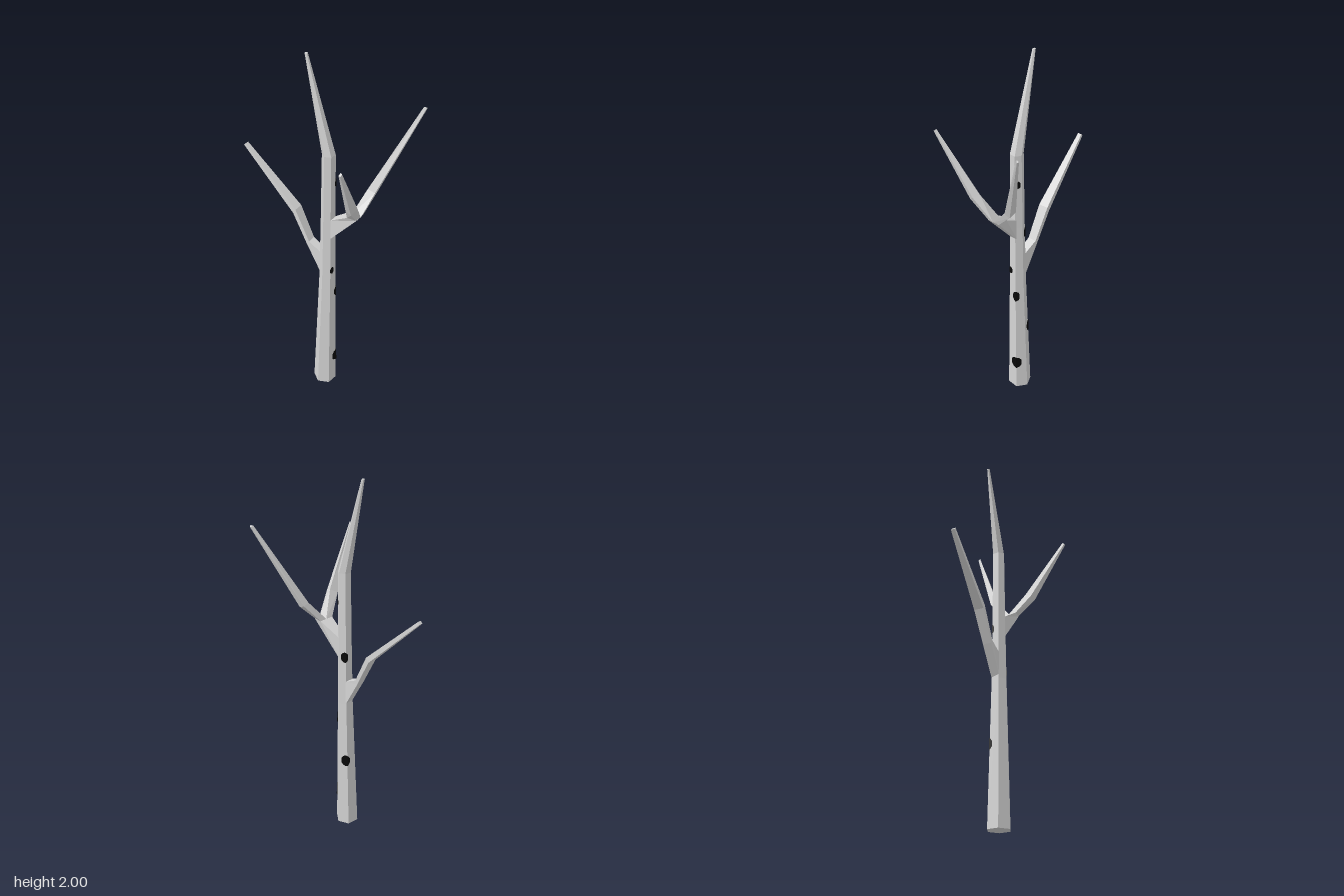
import * as THREE from 'three';

const RAD = Math.PI / 180;
const SIDES = 6;
const TURN = -7; // angle of the first trunk corner, measured from +z toward +x

// trunk sections: height, centre x, radius
const TRUNK = [
  [0, 0.068, 0.063], [0.77, 0.077, 0.043], [1.1, 0.077, 0.038],
  [1.51, 0.077, 0.034], [2, -0.05, 0.008],
];

function sectionAt(y) {
  let i = 0;
  while (i < TRUNK.length - 2 && y > TRUNK[i + 1][0]) i++;
  const a = TRUNK[i], b = TRUNK[i + 1], t = (y - a[0]) / (b[0] - a[0]);
  return [a[1] + (b[1] - a[1]) * t, a[2] + (b[2] - a[2]) * t];
}

// point on the six-sided trunk, lifted slightly off the bark if asked
function trunkPoint(angle, y, lift = 0) {
  const [cx, r] = sectionAt(y);
  const step = 360 / SIDES;
  const local = ((((angle - TURN) % step) + step) % step) - step / 2;
  const d = (r * Math.cos(step / 2 * RAD) + lift) / Math.cos(local * RAD);
  return [cx + d * Math.sin(angle * RAD), y, d * Math.cos(angle * RAD)];
}

function meshFrom(name, points, material) {
  const g = new THREE.BufferGeometry();
  g.setAttribute('position', new THREE.Float32BufferAttribute(points.flat(), 3));
  g.computeVertexNormals();
  const mesh = new THREE.Mesh(g, material);
  mesh.name = name;
  return mesh;
}

// skin over rings listed from root to tip, with both ends closed
function loft(name, rings, material) {
  const p = [];
  const n = rings[0].length;
  for (let k = 0; k < rings.length - 1; k++) {
    const a = rings[k], b = rings[k + 1];
    for (let i = 0; i < n; i++) {
      const j = (i + 1) % n;
      p.push(a[i], a[j], b[j], a[i], b[j], b[i]);
    }
  }
  const first = rings[0], last = rings[rings.length - 1];
  for (let i = 1; i < n - 1; i++) {
    p.push(first[0], first[i + 1], first[i], last[0], last[i], last[i + 1]);
  }
  return meshFrom(name, p, material);
}

// thin rounded patch that wraps round the trunk corners
function barkSpot(angle, y, halfAngle, halfHeight, material) {
  const stops = [-1, -0.65, 0, 0.65, 1].map((t) => angle + t * halfAngle);
  for (let k = 0; k < SIDES; k++) {
    const corner = TURN + k * 360 / SIDES;
    if (Math.abs(corner - angle) < halfAngle) stops.push(corner);
  }
  stops.sort((a, b) => a - b);
  const columns = stops.map((s) => {
    const t = (s - angle) / halfAngle;
    const h = halfHeight * Math.max(0.4, Math.sqrt(Math.max(0, 1 - t * t)));
    return [trunkPoint(s, y - h, 0.003), trunkPoint(s, y + h, 0.003)];
  });
  const p = [];
  for (let i = 0; i < columns.length - 1; i++) {
    const [a, d] = columns[i], [b, c] = columns[i + 1];
    p.push(a, b, c, a, c, d);
  }
  return meshFrom('barkSpot', p, material);
}

export function createModel() {
  const group = new THREE.Group();
  group.name = 'bareTree';
  const bark = new THREE.MeshStandardMaterial({ color: 0xd4d4d4 });
  bark.name = 'paleBark';
  bark.flatShading = true;
  const dark = new THREE.MeshStandardMaterial({ color: 0x080808 });
  dark.name = 'darkSpots';
  dark.side = THREE.DoubleSide;

  // trunk
  group.add(loft('trunk', TRUNK.map(([y]) =>
    Array.from({ length: SIDES }, (_, i) => trunkPoint(TURN + i * 360 / SIDES, y))), bark));

  // branch toward -x: lower and upper edge of each section, and its z range
  const lowBranch = [
    [0.048, 0.77, 0.045, 0.91, -0.027, 0.017],
    [-0.045, 0.93, -0.03, 0.948, -0.032, 0.015],
    [-0.13, 1.09, -0.115, 1.115, -0.04, 0.013],
    [-0.435, 1.393, -0.425, 1.405, -0.015, 0.006],
  ].map(([x0, y0, x1, y1, z0, z1]) =>
    [[x0, y0, z0], [x0, y0, z1], [x1, y1, z1], [x1, y1, z0]]);
  group.add(loft('lowerBranch', lowBranch, bark));

  // short limb toward +x that carries the fork
  group.add(loft('forkLimb', [
    [[0.1, 1.02, 0.022], [0.1, 1.02, -0.018], [0.1, 1.14, -0.018], [0.1, 1.14, 0.022]],
    [[0.262, 1.21, 0.032], [0.262, 1.21, -0.04], [0.21, 1.21, -0.045], [0.21, 1.21, 0.037]],
  ], bark));

  // the two fork branches
  group.add(loft('frontForkBranch', [
    [[0.21, 1.21, 0.037], [0.26, 1.21, 0.032], [0.264, 1.21, -0.004], [0.212, 1.21, -0.004]],
    [[0.248, 1.315, 0.115], [0.284, 1.305, 0.123], [0.3, 1.33, 0.09], [0.265, 1.338, 0.075]],
    [[0.318, 1.635, 0.295], [0.328, 1.633, 0.297], [0.332, 1.642, 0.287], [0.322, 1.645, 0.283]],
  ], bark));
  group.add(loft('backForkBranch', [
    [[0.212, 1.21, -0.004], [0.264, 1.21, -0.004], [0.26, 1.21, -0.04], [0.21, 1.21, -0.045]],
    [[0.245, 1.32, -0.095], [0.285, 1.308, -0.097], [0.28, 1.295, -0.125], [0.24, 1.31, -0.13]],
    [[0.415, 1.735, -0.288], [0.43, 1.735, -0.293], [0.43, 1.73, -0.3], [0.418, 1.73, -0.302]],
  ], bark));

  // dark bark spots: angle, height, half width in degrees, half height
  for (const [angle, y, w, h] of [
    [112, 0.185, 32, 0.04], [222, 0.42, 28, 0.035], [117, 0.66, 24, 0.033],
    [68, 0.82, 18, 0.022], [222, 1.05, 30, 0.03], [128, 1.35, 32, 0.024],
  ]) group.add(barkSpot(angle, y, w, h, dark));

  return group;
}
